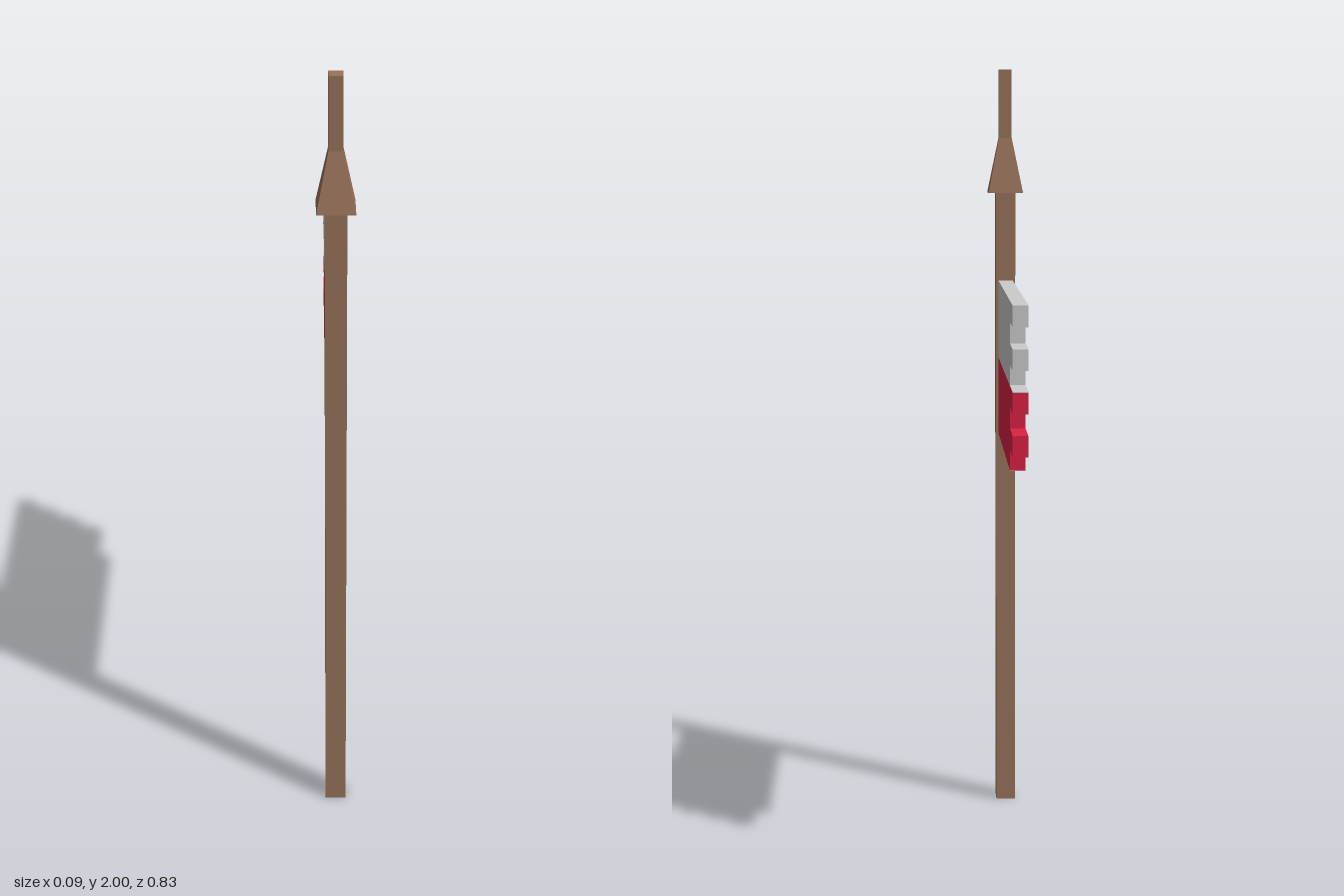
import * as THREE from 'three';

const POLE_Z = 0.367;
const THICK = 0.038;
const BODY_END = -0.28, TOOTH_END = -0.414, HOIST = 0.343;
const BOTTOM = 1.025, BAND = 0.208;

const paint = (color) => new THREE.MeshStandardMaterial({ color, flatShading: true });

export function createModel() {
  const model = new THREE.Group();
  const wood = paint(0x99735b), red = paint(0xdc2145), grey = paint(0xcccccc);

  const add = (name, geometry, material, x, y, z) => {
    const mesh = new THREE.Mesh(geometry, material);
    mesh.name = name;
    mesh.position.set(x, y, z);
    model.add(mesh);
    return mesh;
  };

  // Square bar, optionally tapered, given by half widths and height range
  const squareBar = (name, halfTop, halfBottom, y0, y1) => {
    const g = new THREE.CylinderGeometry(halfTop * Math.SQRT2, halfBottom * Math.SQRT2, y1 - y0, 4);
    g.rotateY(Math.PI / 4);
    add(name, g, wood, 0, (y0 + y1) / 2, POLE_Z);
  };
  squareBar('pole', 0.026, 0.026, 0, 1.675);
  squareBar('spearHead', 0.017, 0.046, 1.675, 1.82);
  squareBar('spearTip', 0.017, 0.017, 1.82, 2);

  // One cloth band: two teeth and two notches on the fly edge, counted from the top
  const band = (name, material, y) => {
    const s = new THREE.Shape();
    s.moveTo(-HOIST, 0);
    s.lineTo(-BODY_END, 0);
    for (let i = 1; i <= 3; i += 2) {
      s.lineTo(-BODY_END, (BAND * i) / 4);
      s.lineTo(-TOOTH_END, (BAND * i) / 4);
      s.lineTo(-TOOTH_END, (BAND * (i + 1)) / 4);
      if (i < 3) s.lineTo(-BODY_END, (BAND * (i + 1)) / 4);
    }
    s.lineTo(-HOIST, BAND);
    s.closePath();
    const g = new THREE.ExtrudeGeometry(s, { depth: THICK, bevelEnabled: false });
    g.translate(0, 0, -THICK / 2);
    g.rotateY(Math.PI / 2);
    add(name, g, material, 0, y, 0);
  };
  band('lowerBand', red, BOTTOM);
  band('upperBand', grey, BOTTOM + BAND);

  // Thin grey edging below the cloth and on top of the upper red tooth
  const edging = (name, z0, z1, y) =>
    add(name, new THREE.BoxGeometry(THICK, 0.002, z0 - z1), grey, 0, y, (z0 + z1) / 2);
  edging('bottomEdging', HOIST, BODY_END, BOTTOM - 0.001);
  edging('toothEdging', BODY_END, TOOTH_END, BOTTOM + BAND + 0.001);

  return model;
}
